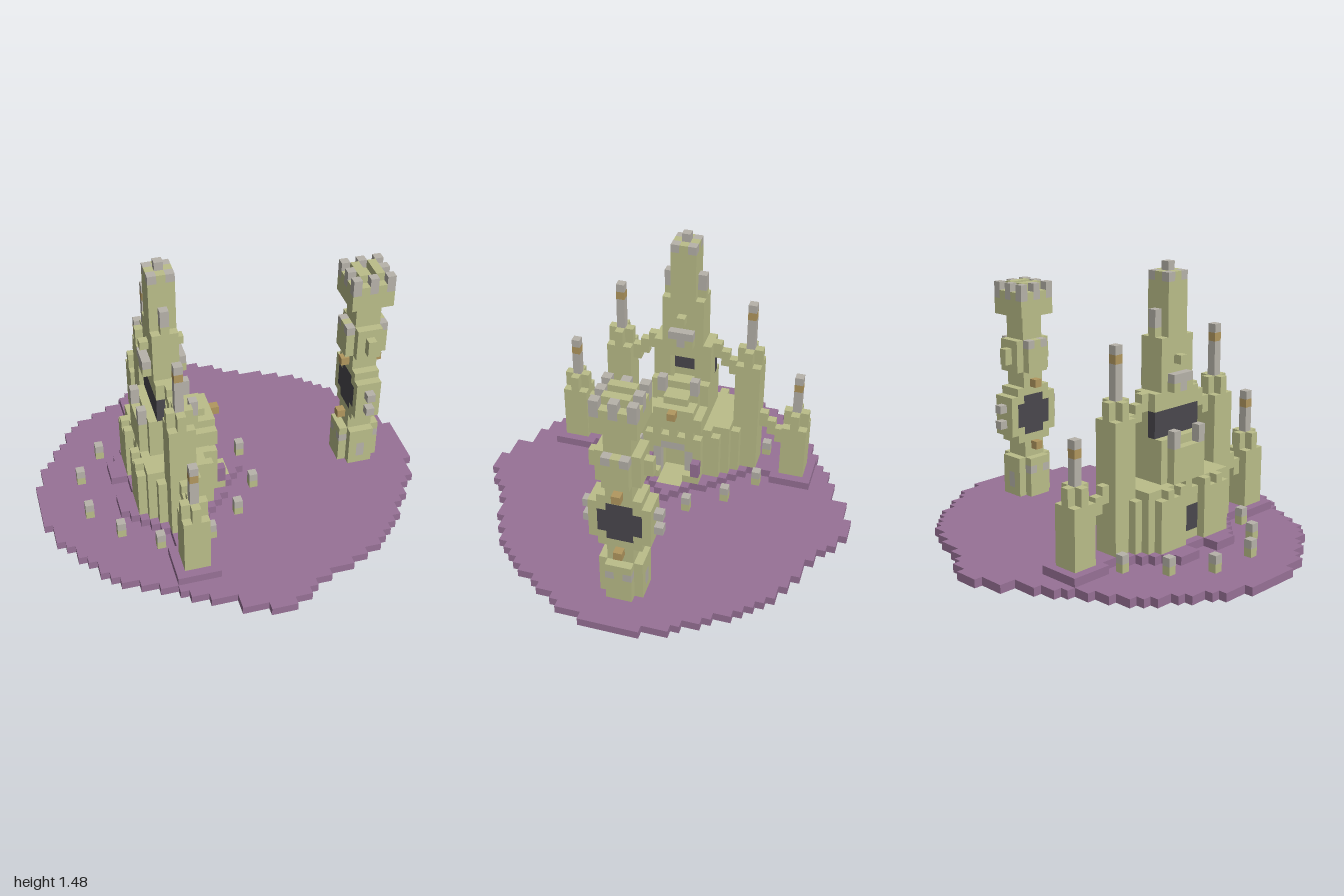
import * as THREE from 'three';

const U = 2 / 46; // block size
const mat = (name, color) => Object.assign(new THREE.MeshStandardMaterial({ color }), { name });

export function createModel() {
  const M = {
    plum: mat('plum ground', 0x987297),
    olive: mat('olive stone', 0xbbbe8a),
    grey: mat('grey stone', 0xb7b3aa),
    dark: mat('dark glass', 0x4a484e),
    brown: mat('brown trim', 0xb2985f),
  };

  // Block grid: i along x (0 = cathedral axis), j up, k along z
  const cells = new Map();
  const key = (i, j, k) => `${i},${j},${k}`;
  const fill = (part, m, i0, i1, j0, j1, k0, k1) => {
    for (let i = i0; i <= i1; i++) for (let j = j0; j <= j1; j++) for (let k = k0; k <= k1; k++) {
      if (m) cells.set(key(i, j, k), { part, m, p: [i, j, k] });
      else cells.delete(key(i, j, k));
    }
  };
  const carve = (...r) => fill('', null, ...r);
  // Same block range mirrored to both sides in z
  const both = (part, m, i0, i1, j0, j1, k0, k1) => {
    fill(part, m, i0, i1, j0, j1, k0, k1);
    fill(part, m, i0, i1, j0, j1, -k1, -k0);
  };

  // Ground disc: right and left reach for each row away from the middle
  const right = [23, 23, 23, 23, 22, 22, 22, 21, 20, 20, 19, 18, 18, 17, 16, 15, 14, 12, 10, 7, 5, 4, 2];
  const left = [23, 23, 23, 23, 22, 22, 22, 21, 20, 20, 19, 18, 18, 17, 16, 14, 12, 10, 9, 7, 4, 4, 1];
  right.forEach((r, k) => both('groundDisc', 'plum', 8 - left[k], r + 7, 1, 1, k, k));
  for (let k = 0; k <= 15; k++) {
    const h = Math.round(18 * Math.pow(1 - (k / 16) ** 2, 0.55));
    both('groundUnderside', 'plum', 8 - h, 8 + h, 0, 0, k, k);
  }

  // Raised terrace
  const terrace = [[-4, 9], [-4, 8], [-6, 7], [-6, 6], [-6, 6], [-5, 5], [-4, 4], [-3, 3],
    [-2, 2], [-1, 1], [-1, 1], [-1, 1], [-2, 2], [-2, 2], [-2, 2], [-2, 2], [-2, 2]];
  terrace.forEach(([a, b], k) => both('terrace', 'plum', a, b, 2, 2, k, k));

  // Cathedral nave with ribbed walls
  const nave = [[-3, 5], [-3, 5], [-4, 5], [-4, 5], [-4, 4], [-4, 4], [-3, 3], [-2, 2]];
  nave.forEach(([a, b], k) => {
    both('nave', 'olive', a + 1, b - 1, 3, 9, k, k);
    both('nave', 'olive', a, b, 3, k % 2 ? 8 : 9, k, k);
  });
  // Entrance and arch
  carve(4, 5, 3, 6, -1, 1);
  both('portal', 'grey', 5, 5, 3, 6, 2, 2);
  fill('portal', 'grey', 5, 5, 7, 7, -1, 1);
  both('portal', 'olive', 6, 6, 3, 3, 2, 3);
  both('portal', 'plum', 6, 6, 4, 5, 3, 3);
  fill('portalFloor', 'olive', 4, 7, 2, 2, -1, 1);
  // Rear window
  fill('rearWindow', 'dark', -3, -3, 4, 6, -1, 1);
  // Front gable
  [3, 3, 2, 1].forEach((w, n) => fill('gable', 'olive', 2, n === 3 ? 4 : 5, 10 + n, 10 + n, -w, w));
  fill('gable', 'brown', 6, 6, 12, 12, 0, 0);

  // Lower stage of the great tower, with corner posts
  fill('towerBase', 'olive', -2, 2, 10, 14, -3, 3);
  fill('towerBase', 'olive', -3, 3, 10, 13, -2, 2);
  for (const i of [-3, 3]) {
    both('cornerPost', 'olive', i, i, 12, 13, 2, 2);
    both('cornerPost', 'grey', i, i, 14, 15, 2, 2);
  }
  // Window stage
  fill('windowStage', 'olive', -1, 1, 15, 19, -3, 3);
  carve(0, 1, 14, 17, -1, 1);
  fill('towerWindow', 'dark', -1, -1, 15, 17, -3, 3);
  // Gallery
  fill('gallery', 'olive', -2, 2, 20, 21, -1, 1);
  fill('gallery', 'olive', -1, 1, 20, 22, -2, 2);
  for (const i of [-2, 2]) {
    fill('gallery', 'grey', i, i, 20, 21, 0, 0);
    both('gallery', 'grey', i, i, 21, 21, 1, 1);
  }
  // Spire
  fill('spire', 'olive', -1, 1, 22, 32, -1, 1);
  fill('spire', 'olive', -2, 2, 23, 23, 0, 0);
  both('spire', 'olive', -1, 1, 23, 25, 2, 2);
  both('spire', 'olive', 0, 0, 26, 26, 2, 2);
  both('spire', 'grey', 0, 0, 27, 28, 2, 2);
  for (const i of [-1, 1]) both('spire', 'grey', i, i, 32, 32, 1, 1);
  fill('spireTip', 'grey', 0, 0, 33, 33, 0, 0);

  // Side turrets: [row, shoulder height, tip height]
  for (const [k, top, tip] of [[8, 19, 25], [14, 11, 16]]) {
    both('turret', 'olive', -1, 1, 3, top, k, k);
    both('turret', 'olive', 0, 0, 3, top, k - 1, k + 1);
    for (const i of [-1, 1]) {
      both('turret', 'olive', i, i, 3, top - 2, k - 1, k - 1);
      both('turret', 'olive', i, i, 3, top - 2, k + 1, k + 1);
    }
    both('turretTip', 'grey', 0, 0, top + 1, tip, k, k);
    both('turretTip', 'brown', 0, 0, tip - 1, tip - 1, k, k);
  }
  // Flying buttresses
  for (const [k, j] of [[12, 7], [11, 8], [10, 9], [6, 16], [5, 17], [4, 18]]) {
    both('flyingButtress', 'olive', 0, 0, j, j + 1, k, k);
  }
  // Crypt opening in the underside
  fill('crypt', 'olive', -2, 2, 0, 2, -2, 2);
  carve(-1, 1, 0, 2, -1, 1);
  fill('crypt', 'grey', 0, 0, 2, 2, -1, 1);

  // Bollards around the terrace
  for (const [i, k] of [[-3, 10], [-7, 7], [-10, 3], [3, 10], [7, 7], [10, 3]]) {
    both('bollard', 'olive', i, i, 2, 2, k, k);
    both('bollard', 'grey', i, i, 3, 3, k, k);
  }

  // Clock tower
  const C = 24;
  const clock = (part, m, i, j0, j1, k) => fill(part, m, C - i, C + i, j0, j1, -k, k);
  clock('clockBase', 'olive', 1, 2, 6, 2);
  clock('clockBase', 'olive', 2, 2, 6, 1);
  for (const i of [C - 2, C + 2]) both('clockBase', 'grey', i, i, 5, 5, 1, 1);
  both('clockBase', 'grey', C, C, 3, 4, 2, 2);
  clock('clockShaft', 'olive', 1, 7, 28, 1);
  // Octagonal clock housing with a face on both sides
  clock('clockHousing', 'olive', 1, 9, 15, 2);
  clock('clockHousing', 'olive', 1, 10, 14, 3);
  for (const i of [C - 1, C + 1]) {
    fill('clockFace', 'dark', i, i, 10, 14, -1, 1);
    fill('clockFace', 'dark', i, i, 11, 13, -2, 2);
  }
  for (const j of [11, 13]) both('clockStud', 'grey', C, C, j, j, 4, 4);
  for (const i of [C - 2, C + 2]) for (const j of [8, 16]) fill('clockTrim', 'brown', i, i, j, j, 0, 0);
  // Belfry
  clock('belfry', 'olive', 2, 18, 21, 1);
  clock('belfry', 'olive', 1, 18, 21, 2);
  for (const i of [C - 2, C + 2]) both('belfry', 'grey', i, i, 21, 21, 1, 1);
  both('belfry', 'olive', C, C, 19, 20, 3, 3);
  // Crown with raised posts
  clock('crown', 'olive', 2, 25, 27, 1);
  clock('crown', 'olive', 1, 25, 27, 2);
  carve(C, C, 28, 28, -1, 1);
  for (const i of [-2, 2]) {
    fill('crownPost', 'grey', C + i, C + i, 27, 28, 0, 0);
    both('crownPost', 'olive', C + i, C + i, 25, 26, 2, 2);
    both('crownPost', 'grey', C + i, C + i, 27, 28, 2, 2);
  }
  both('crownPost', 'grey', C, C, 27, 28, 2, 2);

  // Outer faces of the blocks, gathered by part and colour
  const lists = new Map();
  for (const { part, m, p } of cells.values()) {
    const id = `${part}|${m}`;
    if (!lists.has(id)) lists.set(id, { part, m, pos: [] });
    const { pos } = lists.get(id);
    for (let a = 0; a < 3; a++) for (const s of [-1, 1]) {
      const q = [...p];
      q[a] += s;
      if (cells.has(key(...q))) continue;
      const b = (a + 1) % 3, c = (a + 2) % 3;
      const corners = [[-1, -1], [1, -1], [1, 1], [-1, 1]].map(([u, v]) => {
        const w = [p[0] - 7.5, p[1] + 0.5, p[2]];
        w[a] += s / 2; w[b] += (u * s) / 2; w[c] += v / 2;
        return w.map((n) => n * U);
      });
      for (const n of [0, 1, 2, 0, 2, 3]) pos.push(...corners[n]);
    }
  }

  const model = new THREE.Group();
  model.name = 'cathedralIsland';
  const groups = {};
  for (const { part, m, pos } of lists.values()) {
    if (!pos.length) continue;
    const g = new THREE.BufferGeometry();
    g.setAttribute('position', new THREE.Float32BufferAttribute(pos, 3));
    g.computeVertexNormals();
    if (!groups[part]) {
      groups[part] = new THREE.Group();
      groups[part].name = part;
      model.add(groups[part]);
    }
    const mesh = new THREE.Mesh(g, M[m]);
    mesh.name = `${part} ${M[m].name}`;
    groups[part].add(mesh);
  }
  return model;
}
